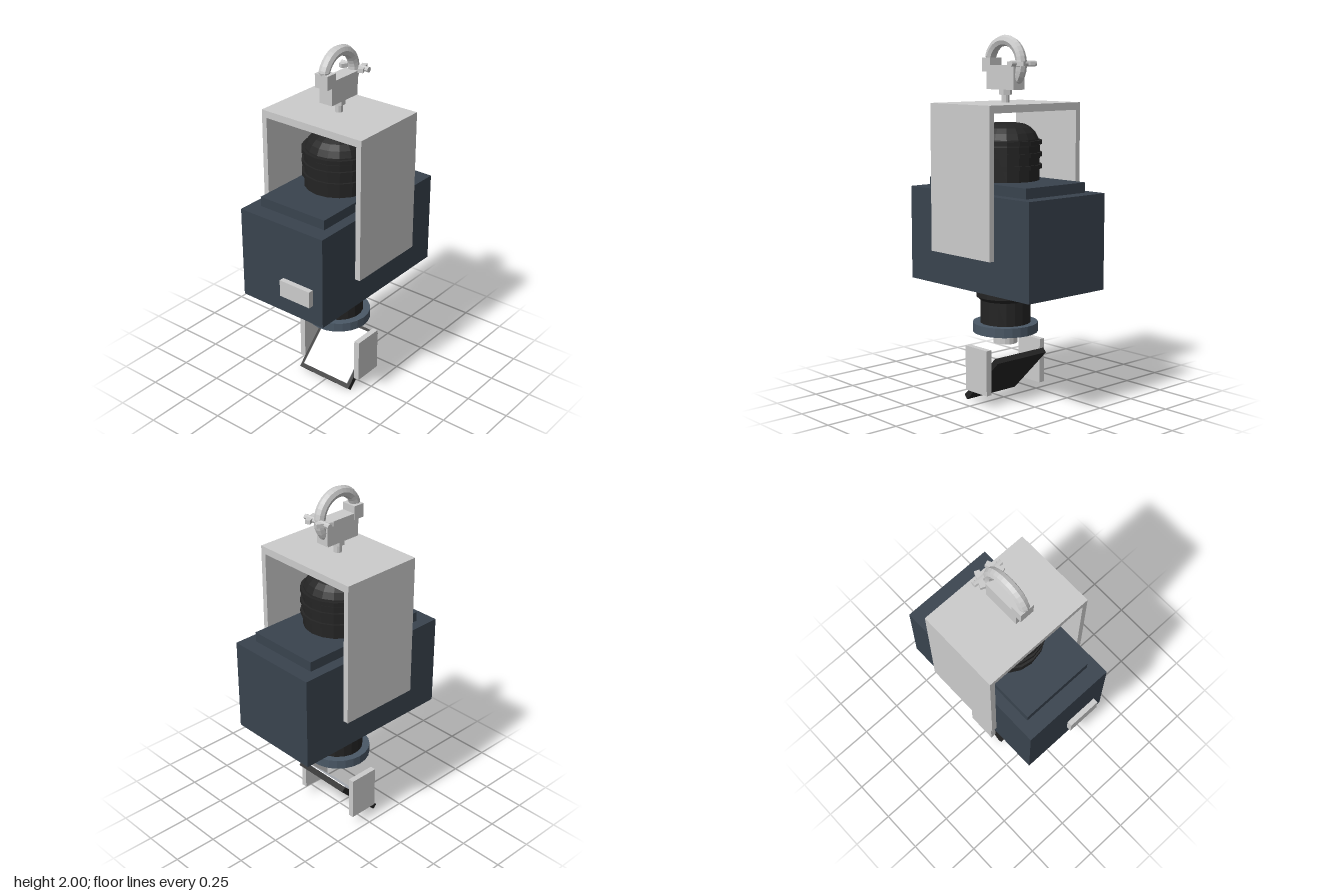
import * as THREE from 'three';

const mat = (color) => new THREE.MeshStandardMaterial({ color, flatShading: true });
const ZC = -0.0125; // common axis of body, lens and yoke

export function createModel() {
  const model = new THREE.Group();
  const grey = mat(0xcccccc), body = mat(0x39434e), black = mat(0x242424);
  const slate = mat(0x4a5866), glass = mat(0xf0f5ff);

  const add = (name, geometry, material, x = 0, y = 0, z = ZC, parent = model) => {
    const mesh = new THREE.Mesh(geometry, material);
    mesh.name = name;
    mesh.position.set(x, y, z);
    parent.add(mesh);
    return mesh;
  };
  // box from its min and max corners
  const box = (name, material, [x0, y0, z0], [x1, y1, z1]) =>
    add(name, new THREE.BoxGeometry(x1 - x0, y1 - y0, z1 - z0), material,
      (x0 + x1) / 2, (y0 + y1) / 2, (z0 + z1) / 2);
  // turned part on the main axis, profile listed bottom to top
  const turned = (name, material, profile, sides = 18) =>
    add(name, new THREE.LatheGeometry(profile.map(([r, y]) => new THREE.Vector2(r, y)), sides), material);

  // Housing
  box('housing', body, [-0.275, 0.65, -0.49], [0.275, 1.17, 0.465]);
  box('topPlate', body, [-0.215, 1.17, -0.405], [0.215, 1.225, 0.375]);
  box('displayPanel', grey, [0.01, 0.76, 0.465], [0.21, 0.855, 0.495]);

  // Lamp cap with rounded top and cooling ribs
  const dome = [[0.187, 1.225], [0.187, 1.41]];
  for (let i = 1; i <= 5; i++) {
    const a = (i / 5) * Math.PI / 2;
    dome.push([0.07 + 0.117 * Math.cos(a), 1.41 + 0.122 * Math.sin(a)]);
  }
  dome.push([0, 1.535]);
  turned('lampCap', black, dome);
  for (const y of [1.3, 1.365, 1.43])
    add('coolingRib', new THREE.CylinderGeometry(0.2, 0.2, 0.022, 18), black, 0, y);

  // Yoke: an upside-down U extruded front to back
  const u = new THREE.Shape([
    [-0.328, 0.84], [-0.297, 0.84], [-0.297, 1.6], [0.297, 1.6],
    [0.297, 0.84], [0.328, 0.84], [0.328, 1.64], [-0.328, 1.64],
  ].map(([x, y]) => new THREE.Vector2(x, y)));
  add('yoke', new THREE.ExtrudeGeometry(u, { depth: 0.475, bevelEnabled: false }), grey, 0, 0, -0.253);
  for (const s of [-1, 1])
    add('yokePivot', new THREE.CylinderGeometry(0.045, 0.045, 0.04, 12), grey, s * 0.287, 0.91)
      .rotation.z = Math.PI / 2;

  // Lens barrel, rotating collar and shaft
  turned('lensBarrel', black, [[0, 0.43], [0.14, 0.43], [0.14, 0.565], [0.162, 0.585],
    [0.162, 0.628], [0, 0.648]]);
  turned('collar', slate, [[0.105, 0.43], [0.105, 0.385], [0.18, 0.385], [0.18, 0.437], [0, 0.437]], 24);
  add('shaft', new THREE.CylinderGeometry(0.067, 0.067, 0.12, 16), grey, 0, 0.38);

  // Mirror head: two side brackets and a tilted mirror
  for (const s of [-1, 1])
    add('mirrorBracket', new THREE.BoxGeometry(0.033, 0.25, 0.174), grey, s * 0.198, 0.195);
  const mirror = new THREE.Group();
  mirror.name = 'mirror';
  mirror.position.set(0, 0.139, ZC);
  mirror.rotation.x = -Math.PI / 4;
  model.add(mirror);
  add('mirrorPlate', new THREE.BoxGeometry(0.36, 0.36, 0.032), black, 0, 0, 0, mirror);
  add('mirrorGlass', new THREE.BoxGeometry(0.32, 0.32, 0.012), glass, 0, 0.004, 0.015, mirror);

  // Hanging clamp: stem, nut, jaw block and front lip
  add('clampStem', new THREE.CylinderGeometry(0.022, 0.022, 0.07, 10), grey, 0, 1.675);
  add('clampNut', new THREE.CylinderGeometry(0.036, 0.036, 0.03, 6), grey, 0, 1.697);
  box('clampBlock', grey, [-0.04, 1.71, -0.12], [0.04, 1.84, 0.095]);
  box('clampLip', grey, [-0.042, 1.805, 0.065], [0.042, 1.88, 0.13]);

  // Hook: an arc from behind the block up and over to the front
  const arc = [];
  for (let i = 0; i <= 12; i++) {
    const a = THREE.MathUtils.degToRad(-38 + i * 16.5);
    arc.push(new THREE.Vector3(0, 1.845 + 0.125 * Math.sin(a), -0.012 - 0.125 * Math.cos(a)));
  }
  add('clampHook', new THREE.TubeGeometry(new THREE.CatmullRomCurve3(arc), 18, 0.03, 8), grey, 0, 0, 0);
  for (const p of [arc[0], arc[12]])
    add('hookEnd', new THREE.SphereGeometry(0.029, 8, 6), grey, p.x, p.y, p.z);

  // Wing bolt across the back of the hook
  add('wingBolt', new THREE.CylinderGeometry(0.015, 0.015, 0.18, 8), grey, 0, 1.848, -0.15)
    .rotation.z = Math.PI / 2;
  for (const s of [-1, 1])
    add('boltWing', new THREE.BoxGeometry(0.028, 0.022, 0.094), grey, s * 0.048, 1.848, -0.15)
      .rotation.y = s * 0.4;

  return model;
}
